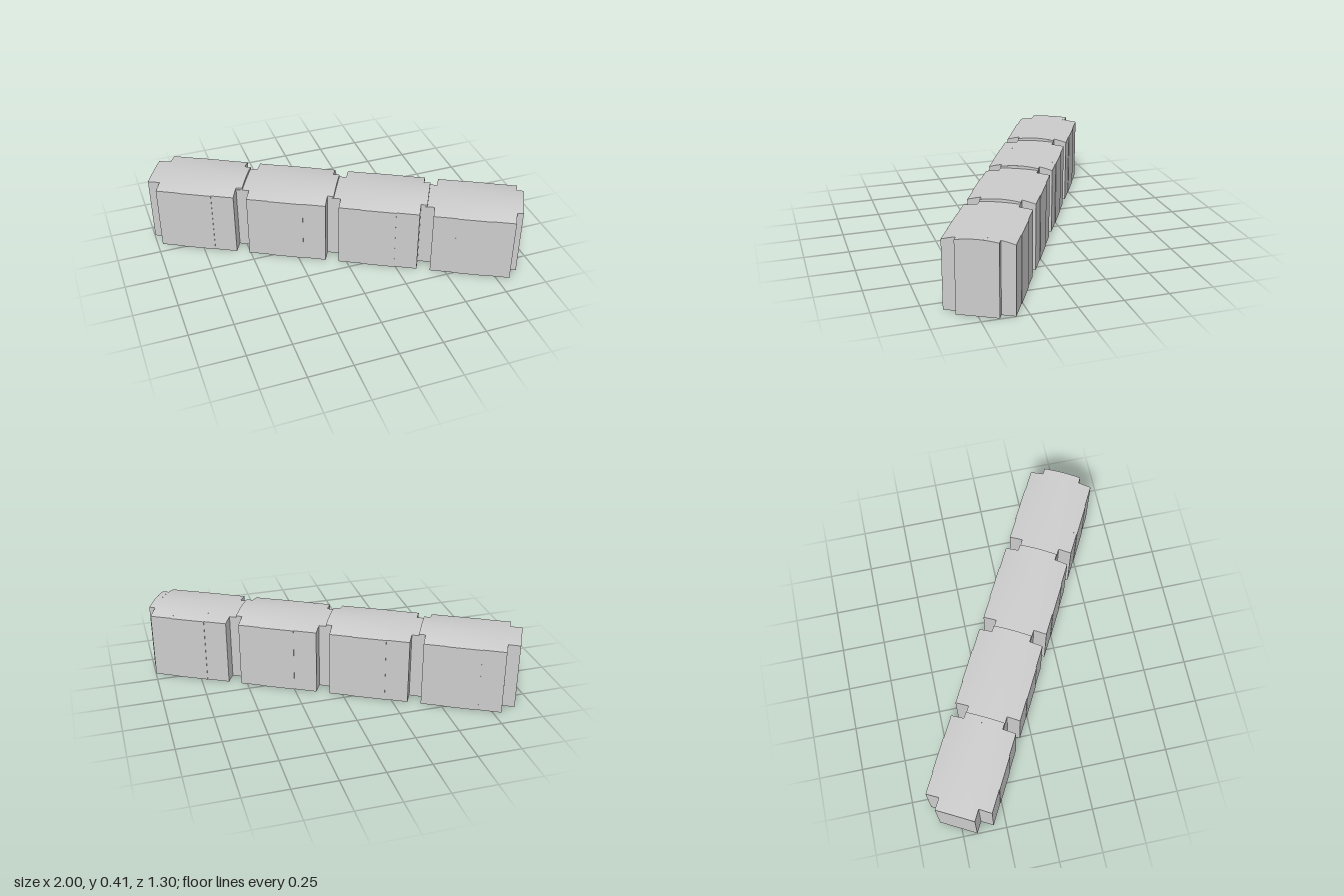
import * as THREE from 'three';
import { mergeGeometries } from 'three/addons/utils/BufferGeometryUtils.js';

// Strips along one block: start, end, half width (narrow end tabs, three wide panels)
const STRIPS = [
  [-0.296, -0.227, 0.111],
  [-0.227, -0.096, 0.186],
  [-0.096, 0.096, 0.189],
  [0.096, 0.226, 0.186],
  [0.226, 0.262, 0.111],
];
const PITCH = 0.529;
const ANGLE = THREE.MathUtils.degToRad(28.2);

// Height of the crowned roof, which rises towards the +x end
function roofHeight(u, v) {
  const t = THREE.MathUtils.clamp((u + 0.296) / 0.558, 0, 1);
  return 0.382 + (0.012 + 0.018 * t) * (1 - (v / 0.189) ** 2);
}

// Bends a grid by place(s, t), with s and t running from 0 to 1
function patch(nx, ny, place) {
  const g = new THREE.PlaneGeometry(1, 1, nx, ny);
  const p = g.attributes.position;
  for (let i = 0; i < p.count; i++) p.setXYZ(i, ...place(p.getX(i) + 0.5, p.getY(i) + 0.5));
  g.computeVertexNormals();
  return g;
}

// Upright wall from a to b, reaching up to the roof
function wall([au, av], [bu, bv]) {
  return patch(10, 1, (s, t) => {
    const u = au + (bu - au) * s, v = av + (bv - av) * s;
    return [u, t * roofHeight(u, v), v];
  });
}

function roofGeometry() {
  return mergeGeometries(STRIPS.map(([u0, u1, w]) => patch(4, 16, (s, t) => {
    const u = u0 + (u1 - u0) * s, v = w * (1 - 2 * t);
    return [u, roofHeight(u, v), v];
  })));
}

function wallGeometry() {
  // Stepped outline: along the front, then back along the rear
  const front = STRIPS.flatMap(([u0, u1, w]) => [[u0, w], [u1, w]]);
  const rear = front.map(([u, w]) => [u, -w]).reverse();
  const outline = [...front, ...rear];
  return mergeGeometries(outline.map((a, i) => wall(a, outline[(i + 1) % outline.length])));
}

export function createModel() {
  const model = new THREE.Group();
  model.name = 'blockRow';
  const material = new THREE.MeshStandardMaterial({ color: 0xcccccc, side: THREE.DoubleSide });
  const roofs = roofGeometry();
  const walls = wallGeometry();

  // Four identical hollow blocks, open underneath, in a diagonal row
  for (let i = 0; i < 4; i++) {
    const block = new THREE.Group();
    block.name = `block${i + 1}`;
    const roof = new THREE.Mesh(roofs, material);
    roof.name = 'roof';
    const shell = new THREE.Mesh(walls, material);
    shell.name = 'walls';
    block.add(roof, shell);
    block.position.set((i - 1.5) * PITCH + 0.012, 0, -0.009 + i * 0.002);
    model.add(block);
  }
  model.rotation.y = -ANGLE;
  return model;
}
